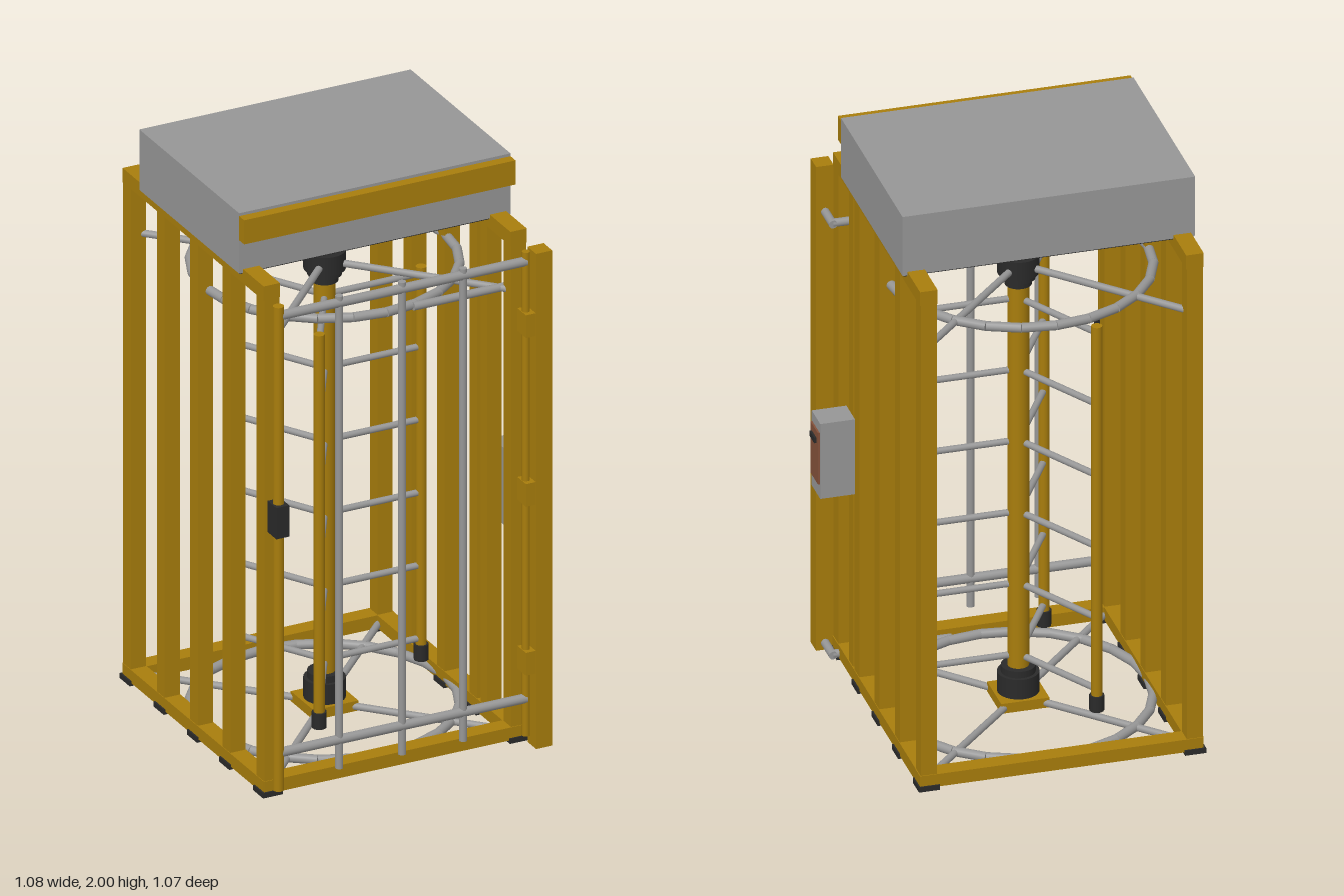
import * as THREE from 'three';

const mat = (name, color) => {
  const m = new THREE.MeshStandardMaterial({ color });
  m.name = name;
  return m;
};

export function createModel() {
  const gold = mat('ochre paint', 0xa87d0c);
  const steel = mat('grey steel', 0x969696);
  const black = mat('black rubber', 0x2a2a2a);
  const brown = mat('brown panel', 0x84513a);

  const root = new THREE.Group();
  root.name = 'turnstile';
  const group = (name) => {
    const g = new THREE.Group();
    g.name = name;
    root.add(g);
    return g;
  };
  const add = (parent, name, geo, material) => {
    const m = new THREE.Mesh(geo, material);
    m.name = name;
    parent.add(m);
    return m;
  };
  // Box given by its limits on each axis
  const box = (parent, name, material, [x0, x1], [y0, y1], [z0, z1]) => {
    const m = add(parent, name, new THREE.BoxGeometry(x1 - x0, y1 - y0, z1 - z0), material);
    m.position.set((x0 + x1) / 2, (y0 + y1) / 2, (z0 + z1) / 2);
    return m;
  };
  const around = (c, w) => [c - w / 2, c + w / 2];
  // Round bar between two points
  const bar = (parent, name, material, a, b, r, sides = 14) => {
    const A = new THREE.Vector3(...a), B = new THREE.Vector3(...b);
    const d = B.clone().sub(A);
    const m = add(parent, name, new THREE.CylinderGeometry(r, r, d.length(), sides), material);
    m.position.copy(A).add(B).multiplyScalar(0.5);
    m.quaternion.setFromUnitVectors(new THREE.Vector3(0, 1, 0), d.normalize());
    return m;
  };

  const CX = -0.055, CZ = -0.04; // rotor axis
  const sideX = [-0.497, 0.385];
  const postZ = [0.427, 0.19, -0.035, -0.267, -0.503];

  // Side frames: posts, rails and feet
  const frame = group('frame');
  for (const x of sideX) {
    for (const z of postZ) {
      box(frame, 'post', gold, around(x, 0.054), [0.05, z === postZ[0] || z === postZ[4] ? 1.8 : 1.76], around(z, 0.054));
      box(frame, 'foot', black, around(x, 0.07), [0, 0.018], around(z, 0.07));
    }
    box(frame, 'topRail', gold, around(x, 0.058), [1.75, 1.8], [-0.53, 0.454]);
    box(frame, 'bottomRail', gold, around(x, 0.058), [0.01, 0.055], [-0.53, 0.454]);
  }
  for (const z of [postZ[0], postZ[4]])
    box(frame, 'crossRail', gold, [-0.525, 0.415], [0.01, 0.055], around(z, 0.06));
  box(frame, 'controlPost', gold, around(0.385, 0.052), [0.05, 1.76], around(0.262, 0.048));

  // Guide rings with corner braces and the gate post bracket
  for (const [name, y] of [['upperGuide', 1.58], ['lowerGuide', 0.025]]) {
    const g = group(name);
    const R = 0.43, n = 24;
    const at = (i) => {
      const t = (i / n) * Math.PI * 2;
      return [CX + R * Math.cos(t), y, CZ + R * Math.sin(t)];
    };
    for (let i = 0; i < n; i++) bar(g, 'ringSegment', steel, at(i), at(i + 1), 0.016);
    for (const x of [-0.485, 0.375])
      for (const z of [0.42, -0.49]) bar(g, 'brace', steel, [x, y, z], [CX, y, CZ], 0.012);
    bar(g, 'bracketBar', steel, [0.04, y, 0.392], [0.435, y, 0.392], 0.014);
    bar(g, 'bracketEnd', steel, [0.435, y, 0.38], [0.435, y, 0.48], 0.014);
  }

  // Bearings and column
  const rotor = group('rotor');
  const disc = (name, material, y0, y1, r) =>
    bar(rotor, name, material, [CX, y0, CZ], [CX, y1, CZ], r, 28);
  disc('column', gold, 0.05, 1.6, 0.035);
  disc('upperBearing', black, 1.555, 1.62, 0.068);
  disc('upperCollar', black, 1.535, 1.555, 0.056);
  disc('upperNeck', black, 1.512, 1.535, 0.044);
  disc('lowerBearing', black, 0.045, 0.115, 0.068);
  disc('lowerCollar', black, 0.115, 0.138, 0.056);
  box(rotor, 'basePlate', gold, around(CX, 0.16), [0.01, 0.045], around(CZ, 0.16));

  // Three wings of rungs, each with an end post
  for (let k = 0; k < 3; k++) {
    const wing = new THREE.Group();
    wing.name = 'wing';
    wing.position.set(CX, 0, CZ);
    wing.rotation.y = (k * Math.PI * 2) / 3;
    rotor.add(wing);
    bar(wing, 'wingPost', gold, [0.345, 0.15, 0], [0.345, 1.485, 0], 0.018);
    bar(wing, 'wingTip', black, [0.345, 0.1, 0], [0.345, 0.155, 0], 0.024);
    for (let i = 0; i < 6; i++) {
      const y = 0.175 + i * 0.257;
      bar(wing, 'rung', steel, [0.02, y, 0], [0.345, y, 0], 0.011);
    }
  }

  // Hinged front gate
  const gate = group('gate');
  const GZ = 0.5;
  for (const y of [0.17, 1.71]) bar(gate, 'gateRail', steel, [-0.49, y, GZ], [0.387, y, GZ], 0.016);
  for (const x of [-0.28, CX, 0.163]) bar(gate, 'gateBar', steel, [x, 0.07, GZ], [x, 1.735, GZ], 0.013);
  bar(gate, 'gateStile', gold, [-0.497, 0.04, GZ], [-0.497, 1.745, GZ], 0.018);
  bar(gate, 'hingeRod', gold, [0.387, 0.04, GZ], [0.387, 1.745, GZ], 0.013);
  box(gate, 'lock', black, around(-0.497, 0.046), [0.94, 1.05], around(GZ, 0.062));
  box(gate, 'hingePost', gold, [0.407, 0.465], [0, 1.745], [0.472, 0.533]);
  for (const y of [0.305, 0.9, 1.495])
    box(gate, 'hingePlate', gold, [0.372, 0.408], around(y, 0.08), [0.47, 0.53]);

  // Overhead housing
  const roof = group('housing');
  box(roof, 'housingBody', steel, [-0.54, 0.43], [1.787, 2], [-0.386, 0.31]);
  box(roof, 'housingUnderside', black, [-0.535, 0.425], [1.782, 1.788], [-0.381, 0.305]);
  box(roof, 'headerStrip', gold, [-0.54, 0.43], [1.905, 1.99], [0.31, 0.345]);

  // Control box
  const control = group('controlBox');
  box(control, 'controlBody', steel, [0.412, 0.527], [0.69, 0.96], [0.213, 0.31]);
  box(control, 'controlPanel', brown, [0.527, 0.533], [0.74, 0.925], [0.219, 0.305]);
  box(control, 'cardSlot', black, [0.533, 0.54], [0.88, 0.9], [0.238, 0.288]);

  return root;
}
